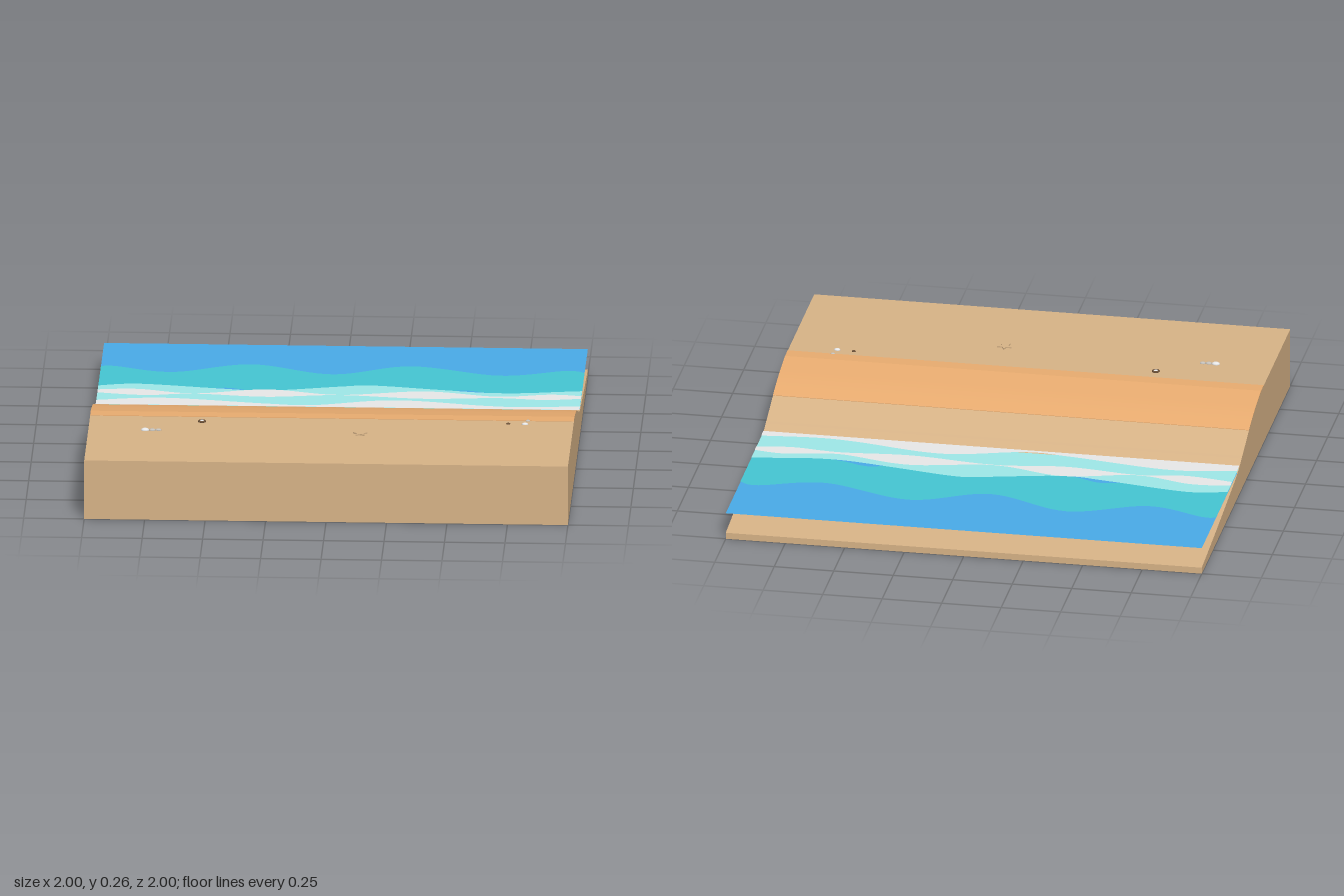
import * as THREE from 'three';

const mat = (name, color, side = THREE.FrontSide) => {
  const m = new THREE.MeshStandardMaterial({ color, side });
  m.name = name;
  return m;
};

const V = (x, y) => new THREE.Vector2(x, y);
const spline = (pts, n = 80) =>
  new THREE.SplineCurve(pts.map(p => V(p[0], p[1]))).getPoints(n);

export function createModel() {
  const group = new THREE.Group();
  const D = THREE.DoubleSide;
  const sand = mat('damp sand', 0xd6b286);
  const drySand = mat('dry sand', 0xf5b576);
  const deep = mat('deep water', 0x49abe8, D);
  const shallow = mat('shallow water', 0x44c5d2, D);
  const pale = mat('pale water', 0xa3f0f0, D);
  const foam = mat('foam', 0xf5f5f5, D);
  const shellGrey = mat('shell grey', 0xc4c0ba);
  const pebbleBrown = mat('pebble brown', 0x6b5037);

  const add = (name, geometry, material, x = 0, y = 0, z = 0) => {
    const mesh = new THREE.Mesh(geometry, material);
    mesh.name = name;
    mesh.position.set(x, y, z);
    group.add(mesh);
    return mesh;
  };

  // Beach slope as (-z, y), extruded across the full width
  const slope = spline([[-0.34, 0.254], [-0.2, 0.23], [-0.1, 0.204], [0, 0.17],
    [0.1, 0.137], [0.2, 0.108], [0.4, 0.084], [0.7, 0.053], [1, 0.027]], 48);
  const extrudeAcross = points => {
    const g = new THREE.ExtrudeGeometry(new THREE.Shape(points), { depth: 2, bevelEnabled: false });
    g.translate(0, 0, -1);
    g.rotateY(Math.PI / 2);
    return g;
  };
  add('beachBlock', extrudeAcross([V(-1, 0), V(-1, 0.254), ...slope, V(1, 0)].reverse()), sand);

  // Dry sand strip lying on the crest and upper slope
  const crest = [V(-0.4, 0.254), ...slope.filter(p => p.x < -0.055)];
  const raised = crest.map(p => V(p.x, p.y + 0.002));
  const lowered = crest.map(p => V(p.x, p.y - 0.002));
  add('drySandStrip', extrudeAcross([...lowered, ...raised.reverse()]), drySand);

  // Flat sheet between two wavy edges given as (x, z)
  const sheet = (name, far, near, y, material) => {
    const outline = [...spline(near), ...spline(far).reverse()].map(p => V(p.x, -p.y));
    const g = new THREE.ShapeGeometry(new THREE.Shape(outline));
    g.rotateX(-Math.PI / 2);
    add(name, g, material, 0, y, 0);
  };
  const straight = z => [[-1, z], [1, z]];

  sheet('deepWater', straight(-1), straight(-0.2), 0.115, deep);
  sheet('shallowWater',
    [[-1, -0.68], [-0.94, -0.685], [-0.7, -0.615], [-0.38, -0.73], [-0.04, -0.61],
      [0.28, -0.73], [0.65, -0.62], [0.92, -0.695], [1, -0.67]],
    [[-1, -0.33], [-0.55, -0.4], [-0.45, -0.41], [-0.3, -0.36], [0.1, -0.33],
      [0.45, -0.405], [0.53, -0.415], [0.66, -0.375], [1, -0.33]], 0.118, shallow);
  sheet('paleWater',
    [[-1, -0.415], [-0.83, -0.445], [-0.5, -0.395], [-0.3, -0.375], [0, -0.44], [0.13, -0.46],
      [0.4, -0.415], [0.6, -0.382], [0.75, -0.382], [0.9, -0.405], [1, -0.42]],
    straight(-0.165), 0.1205, pale);
  sheet('outerFoam',
    [[-1, -0.355], [-0.83, -0.368], [-0.6, -0.318], [-0.3, -0.382], [0, -0.322],
      [0.35, -0.382], [0.65, -0.325], [0.87, -0.36], [1, -0.345]],
    [[-1, -0.315], [-0.8, -0.287], [-0.6, -0.314], [-0.3, -0.284], [0, -0.318],
      [0.35, -0.284], [0.65, -0.305], [0.85, -0.288], [1, -0.31]], 0.123, foam);
  sheet('shoreFoam',
    [[-1, -0.205], [-0.72, -0.245], [-0.3, -0.185], [-0.1, -0.172], [0.23, -0.25],
      [0.6, -0.192], [0.77, -0.18], [1, -0.2]],
    straight(-0.15), 0.126, foam);

  // Shells and pebbles: flattened low domes on the sand
  const bits = [
    ['shell', -0.765, 0.585, 0.018, foam], ['shell', -0.735, 0.585, 0.014, shellGrey],
    ['shell', -0.71, 0.583, 0.013, shellGrey], ['shell', 0.8, 0.445, 0.014, foam],
    ['shell', 0.81, 0.4, 0.01, shellGrey], ['pebble', 0.73, 0.442, 0.009, pebbleBrown],
  ];
  for (const [name, x, z, r, material] of bits) {
    const g = new THREE.SphereGeometry(r, 10, 6);
    g.scale(1, 0.5, 0.75);
    add(name, g, material, x, 0.255, z);
  }

  // Coiled shell
  const ring = new THREE.TorusGeometry(0.012, 0.005, 6, 14);
  ring.rotateX(Math.PI / 2);
  add('coiledShell', ring, pebbleBrown, -0.535, 0.256, 0.463);
  const core = new THREE.SphereGeometry(0.011, 10, 6);
  core.scale(1, 0.6, 1);
  add('coiledShellCore', core, foam, -0.535, 0.256, 0.463);

  // Starfish
  const star = new THREE.Shape(Array.from({ length: 10 }, (_, i) => {
    const a = Math.PI / 2 + i * Math.PI / 5, r = i % 2 ? 0.014 : 0.032;
    return V(r * Math.cos(a), r * Math.sin(a));
  }));
  const starGeo = new THREE.ExtrudeGeometry(star, { depth: 0.006, bevelEnabled: false });
  starGeo.rotateX(-Math.PI / 2);
  add('starfish', starGeo, sand, 0.125, 0.254, 0.603);

  return group;
}
